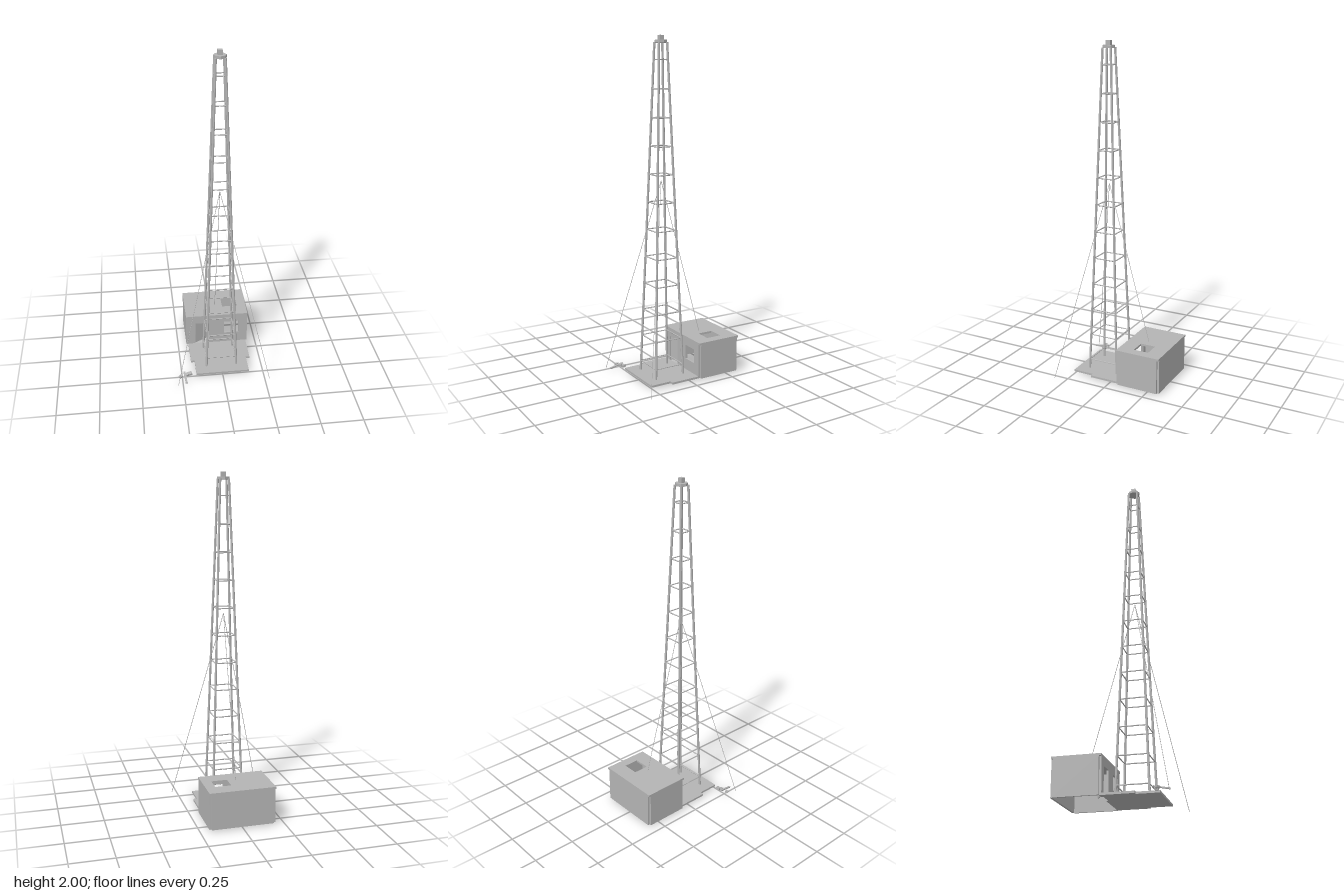
import * as THREE from 'three';

const V = (x, y, z) => new THREE.Vector3(x, y, z);

export function createModel() {
  const root = new THREE.Group();
  root.name = 'lookoutMast';
  const grey = new THREE.MeshStandardMaterial({ color: 0xb4b4b4, flatShading: true });
  grey.name = 'plain grey';

  const add = (name, geometry, parent = root) => {
    const mesh = new THREE.Mesh(geometry, grey);
    mesh.name = name;
    parent.add(mesh);
    return mesh;
  };
  const box = (name, w, h, d, x, y, z, parent) => {
    const mesh = add(name, new THREE.BoxGeometry(w, h, d), parent);
    mesh.position.set(x, y, z);
    return mesh;
  };
  // Straight bar between two points
  const bar = (name, a, b, radius, sides, parent) => {
    const dir = b.clone().sub(a);
    const mesh = add(name, new THREE.CylinderGeometry(radius, radius, dir.length(), sides), parent);
    mesh.position.copy(a).add(b).multiplyScalar(0.5);
    mesh.quaternion.setFromUnitVectors(V(0, 1, 0), dir.normalize());
    return mesh;
  };
  const shape = (points) => new THREE.Shape(points.map(([x, y]) => new THREE.Vector2(x, y)));
  const rectangle = (x0, y0, x1, y1) => shape([[x0, y0], [x1, y0], [x1, y1], [x0, y1]]);
  const slab = (outline, depth) => new THREE.ExtrudeGeometry(outline, { depth, bevelEnabled: false });

  // Stepped floor, drawn in x and -z
  const floor = add('floorPad', slab(shape([
    [-0.162, -0.255], [0.162, -0.255], [0.162, -0.127], [0.185, -0.127],
    [0.185, 0.05], [-0.185, 0.05], [-0.185, -0.127], [-0.162, -0.127],
  ]), 0.012));
  floor.rotation.x = -Math.PI / 2;
  floor.position.y = 0.01;

  // Hut, open below, with walls meeting at notched corners
  const hut = new THREE.Group();
  hut.name = 'hut';
  root.add(hut);
  const T = 0.012;
  const frontOutline = shape([
    [-0.185, 0.01], [-0.14, 0.01], [-0.14, 0.175], [-0.05, 0.175],
    [-0.05, 0.01], [0.185, 0.01], [0.185, 0.218], [-0.185, 0.218],
  ]);
  frontOutline.holes.push(rectangle(0.045, 0.09, 0.14, 0.175));
  add('frontWall', slab(frontOutline, T), hut).position.z = -0.05 - T;
  box('backWall', 0.37, 0.208, T, 0, 0.114, -0.321, hut);
  for (const s of [-1, 1]) box('sideWall', T, 0.208, 0.253, s * 0.191, 0.114, -0.1885, hut);
  const roofOutline = rectangle(-0.197, 0.05, 0.197, 0.327);
  roofOutline.holes.push(rectangle(0.045, 0.142, 0.14, 0.234));
  const roof = add('roof', slab(roofOutline, T), hut);
  roof.rotation.x = -Math.PI / 2;
  roof.position.y = 0.218;

  // Door standing ajar into the hut
  const door = new THREE.Group();
  door.name = 'door';
  door.position.set(-0.139, 0, -0.06);
  door.rotation.y = 0.5;
  hut.add(door);
  box('doorLeaf', 0.088, 0.15, 0.006, 0.044, 0.098, 0, door);
  box('doorHandle', 0.014, 0.008, 0.016, 0.077, 0.078, 0, door);

  // Tapering four-legged tower
  const tower = new THREE.Group();
  tower.name = 'tower';
  tower.position.z = 0.092;
  root.add(tower);
  const corners = [[-1, -1], [1, -1], [1, 1], [-1, 1]];
  const Y0 = 0.015, Y1 = 1.96;
  const half = (y) => THREE.MathUtils.lerp(0.093, 0.026, (y - Y0) / (Y1 - Y0));
  const at = ([sx, sz], y) => V(sx * half(y), y, sz * half(y));
  corners.forEach((c) => bar('towerLeg', at(c, Y0), at(c, Y1), 0.007, 8, tower));
  for (let i = 0; i < 12; i++) {
    const y = 0.08 + i * 0.1623;
    corners.forEach((c, k) => bar('towerRung', at(c, y), at(corners[(k + 1) % 4], y), 0.0035, 6, tower));
  }

  // Cap and beacon
  add('towerCap', new THREE.CylinderGeometry(0.036, 0.036, 0.016, 8), tower).position.y = 1.965;
  box('beacon', 0.027, 0.028, 0.027, 0, 1.986, 0, tower);

  // Guy wires
  const apex = V(0, 1.18, 0.092);
  for (const foot of [V(-0.279, 0.001, 0.325), V(0.279, 0.001, 0.325), V(0, 0.229, -0.173)]) {
    bar('guyWire', foot, apex, 0.0017, 6);
  }

  // Small scrap pieces lying beside the floor
  const scrap = new THREE.Group();
  scrap.name = 'scrapPile';
  root.add(scrap);
  const plank = box('plank', 0.012, 0.007, 0.088, -0.232, 0.018, 0.277, scrap);
  plank.rotation.set(0.18, 0.08, 0);
  const pieces = [
    [0.019, 0.01, 0.017, -0.26, 0.017, 0.263, 0.6],
    [0.017, 0.012, 0.019, -0.221, 0.022, 0.254, 0.5],
    [0.025, 0.014, 0.021, -0.202, 0.02, 0.245, 0.15],
  ];
  for (const [w, h, d, x, y, z, turn] of pieces) {
    box('scrapBlock', w, h, d, x, y, z, scrap).rotation.set(0.15, turn, 0.12);
  }
  return root;
}
